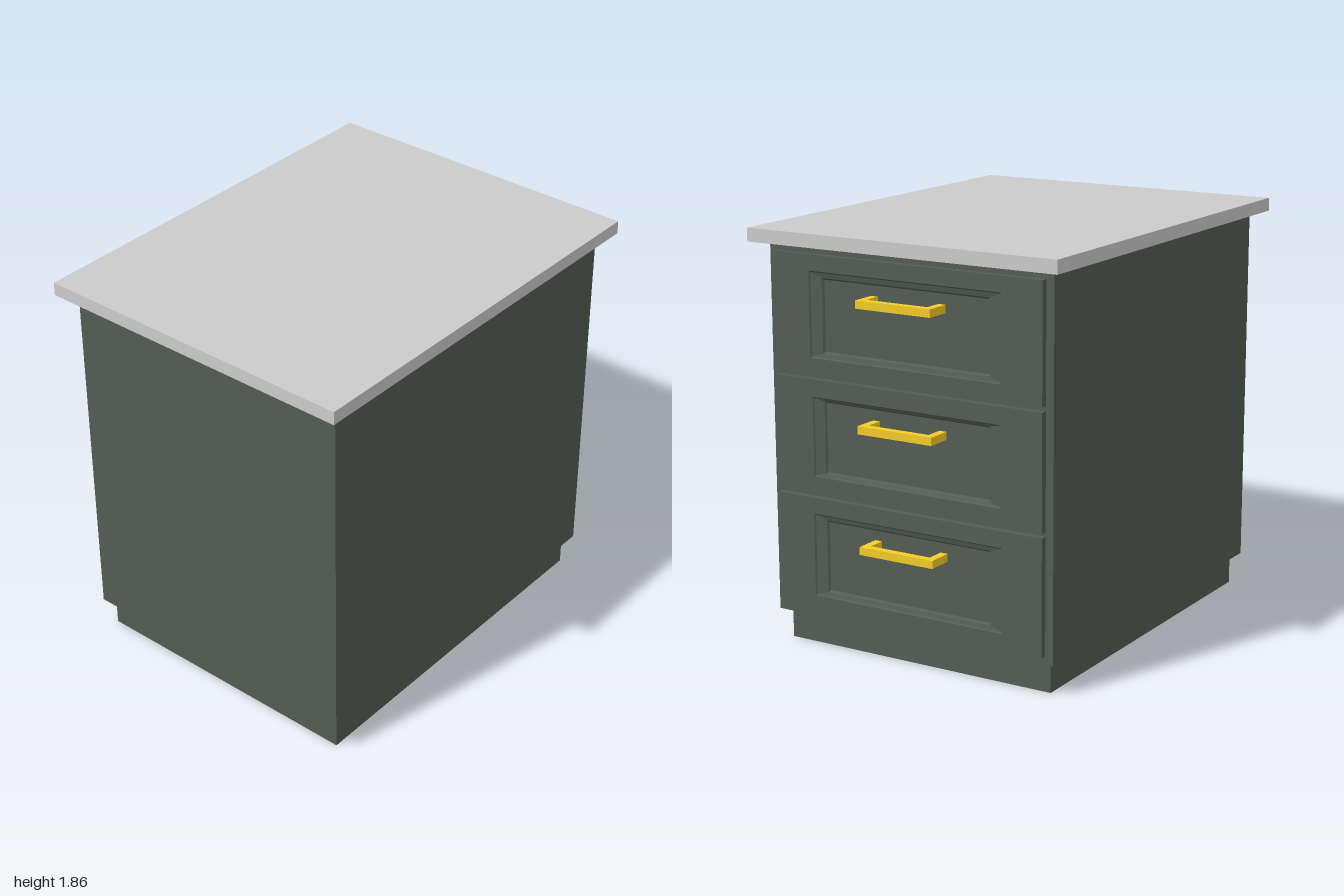
import * as THREE from 'three';

const green = new THREE.MeshStandardMaterial({ color: 0x545c54 });
const gold = new THREE.MeshStandardMaterial({ color: 0xf5cc28 });
const stone = new THREE.MeshStandardMaterial({ color: 0xcccccc });

// Box given by its minimum and maximum on each axis
function box(name, material, [x0, x1], [y0, y1], [z0, z1]) {
  const mesh = new THREE.Mesh(new THREE.BoxGeometry(x1 - x0, y1 - y0, z1 - z0), material);
  mesh.position.set((x0 + x1) / 2, (y0 + y1) / 2, (z0 + z1) / 2);
  mesh.name = name;
  return mesh;
}

// Nested rectangles [x, z0, z1, y0, y1] joined from outside in, last one capped
function steppedPanel(rings) {
  const loops = rings.map(([x, z0, z1, y0, y1]) =>
    [[x, y0, z1], [x, y0, z0], [x, y1, z0], [x, y1, z1]]);
  const points = [];
  for (let k = 0; k < loops.length - 1; k++) {
    const a = loops[k], b = loops[k + 1];
    for (let i = 0; i < 4; i++) {
      const j = (i + 1) % 4;
      points.push(a[i], a[j], b[j], a[i], b[j], b[i]);
    }
  }
  const c = loops[loops.length - 1];
  points.push(c[0], c[1], c[2], c[0], c[2], c[3]);
  const geometry = new THREE.BufferGeometry();
  geometry.setAttribute('position', new THREE.Float32BufferAttribute(points.flat(), 3));
  geometry.computeVertexNormals();
  return geometry;
}

// Drawer front: flat frame, small lip, sloped moulding and sunken centre panel
function drawerFront(y, frame, panel) {
  const [f0, f1, g0, g1] = frame, [p0, p1, q0, q1] = panel;
  const mesh = new THREE.Mesh(steppedPanel([
    [0.875, -0.668, 0.675, y[0], y[1]],
    [0.905, -0.668, 0.675, y[0], y[1]],
    [0.905, f0, f1, g0, g1],
    [0.899, f0 + 0.006, f1 - 0.006, g0 + 0.006, g1 - 0.006],
    [0.893, p0, p1, q0, q1],
    [0.884, p0 + 0.008, p1 - 0.008, q0 + 0.008, q1 - 0.008],
  ]), green);
  mesh.name = 'drawerFront';
  return mesh;
}

// Square bar handle carried by a post at each end
function handle(y) {
  const group = new THREE.Group();
  group.name = 'handle';
  const h = [y - 0.0175, y + 0.0175];
  group.add(
    box('handleBar', gold, [0.965, 1], h, [-0.195, 0.175]),
    box('handlePost', gold, [0.884, 0.965], h, [-0.195, -0.16]),
    box('handlePost', gold, [0.884, 0.965], h, [0.14, 0.175]),
  );
  return group;
}

export function createModel() {
  const model = new THREE.Group();
  model.name = 'drawerCabinet';
  model.add(
    box('plinth', green, [-0.875, 0.83], [0, 0.14], [-0.668, 0.668]),
    box('carcass', green, [-0.92, 0.875], [0.14, 1.8], [-0.705, 0.705]),
    box('worktop', stone, [-1, 0.955], [1.8, 1.86], [-0.765, 0.765]),
  );

  // Three drawers, bottom to top
  const drawers = [
    { y: [0.177, 0.694], frame: [-0.475, 0.483, 0.247, 0.622], panel: [-0.415, 0.423, 0.27, 0.597], grip: 0.528 },
    { y: [0.712, 1.222], frame: [-0.469, 0.476, 0.79, 1.145], panel: [-0.415, 0.423, 0.806, 1.13], grip: 1.058 },
    { y: [1.243, 1.762], frame: [-0.475, 0.483, 1.315, 1.693], panel: [-0.415, 0.423, 1.338, 1.665], grip: 1.594 },
  ];
  for (const d of drawers) {
    const drawer = new THREE.Group();
    drawer.name = 'drawer';
    drawer.add(drawerFront(d.y, d.frame, d.panel), handle(d.grip));
    model.add(drawer);
  }
  return model;
}
